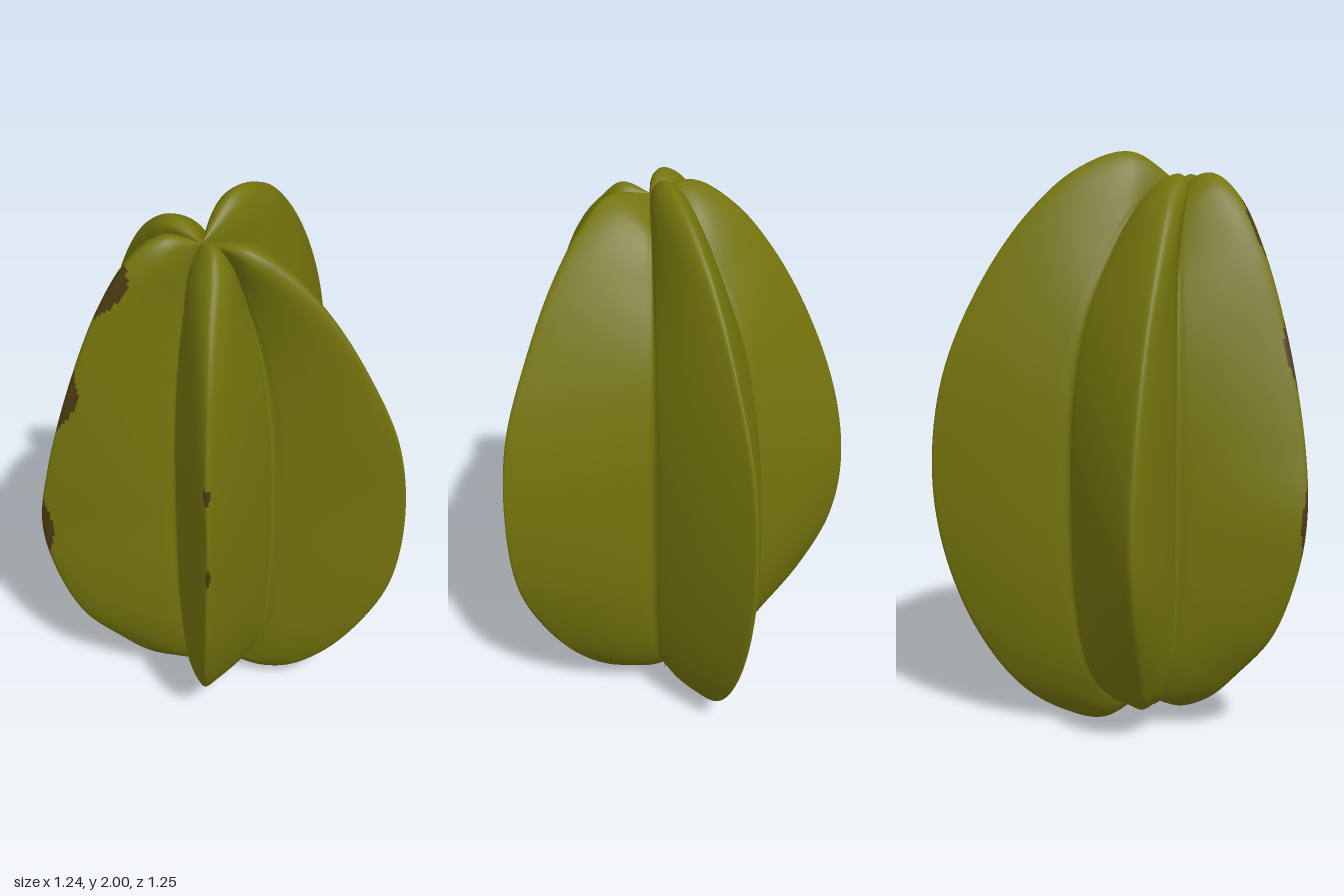
import * as THREE from 'three';

const TOP = new THREE.Vector3(-0.07, 1.89, 0.19);
const BOTTOM = new THREE.Vector3(-0.07, 0.09, 0.06);
const ROWS = 130, STEPS = 5, POINTS = 8, RING = 5 * POINTS * STEPS;

// Five ribs: tip [x, z], half thickness of the edge, then for each outward
// fraction the height of the ridge and its sideways drift
const FRACTIONS = [0.2, 0.4, 0.6, 0.8, 0.95, 1, 0.95, 0.8, 0.6, 0.4, 0.2];
const RIBS = [
  { tip: [0.23, -0.625], half: 0.02,
    y: [2.0, 1.95, 1.8, 1.55, 1.25, 0.92, 0.62, 0.33, 0.13, 0.035, 0.0],
    drift: [0.015, 0.02, 0.015, 0.01, 0, 0, 0, 0, 0, 0, 0] },
  { tip: [0.62, 0.175], half: 0.02,
    y: [1.91, 1.83, 1.68, 1.45, 1.2, 0.9, 0.6, 0.37, 0.18, 0.07, 0.035],
    drift: [0.05, 0.05, 0.045, 0.035, 0.025, 0.01, 0.01, 0.015, 0.02, 0.02, 0.01] },
  { tip: [0.025, 0.625], half: 0.022,
    y: [1.92, 1.85, 1.75, 1.58, 1.3, 1.0, 0.62, 0.36, 0.19, 0.1, 0.06],
    drift: [-0.03, -0.03, -0.02, -0.01, 0, 0, 0.01, 0.02, 0.025, 0.025, 0.015] },
  { tip: [-0.615, 0.345], half: 0.026,
    y: [1.93, 1.86, 1.68, 1.38, 1.05, 0.82, 0.62, 0.38, 0.23, 0.11, 0.06],
    drift: [-0.03, -0.04, -0.045, -0.045, -0.025, 0, 0, 0, 0, 0, 0] },
  { tip: [-0.55, -0.3], half: 0.03,
    y: [1.93, 1.85, 1.68, 1.42, 1.12, 0.85, 0.62, 0.42, 0.25, 0.12, 0.07],
    drift: [-0.025, -0.03, -0.03, -0.02, -0.01, 0, 0, 0, 0, 0, 0] },
];
// Valley i lies just before rib i
const VALLEYS = [[-0.12, -0.28], [0.235, -0.14], [0.165, 0.205], [-0.155, 0.285], [-0.345, 0.005]];
const VALLEY_FRACTIONS = [0.38, 0.64, 0.85, 0.97, 1, 0.95, 0.77, 0.47];
const VALLEY_Y = [1.82, 1.65, 1.45, 1.2, 0.9, 0.5, 0.23, 0.11];

// Bruises: rib index, height range, reach before and after the ridge in edge widths
const BRUISES = [
  [3, 1.66, 1.86, 1, 0.5], [3, 1.23, 1.48, 1, 0.6], [3, 0.68, 0.95, 1, 0.6],
  [2, 0.87, 0.95, 0.5, 0.4], [2, 1.2, 1.27, 0.4, 0.6],
];

// Curve from the top dimple to the bottom one, bulging towards a tip
function meridian([x, z], fractions, heights, drift) {
  const points = fractions.map((f, i) => {
    const axis = BOTTOM.clone().lerp(TOP, (heights[i] - BOTTOM.y) / (TOP.y - BOTTOM.y));
    const out = new THREE.Vector3(x - axis.x, 0, z - axis.z);
    const side = new THREE.Vector3(-out.z, 0, out.x).normalize();
    axis.y = heights[i];
    return axis.addScaledVector(out, f).addScaledVector(side, drift ? drift[i] : 0);
  });
  return new THREE.CatmullRomCurve3([TOP.clone(), ...points, BOTTOM.clone()]);
}

// Star-shaped section at u: valley, two flanks, shoulder, ridge and back again for each rib
function section(u, ridges, valleys) {
  const s = Math.sin(Math.PI * u);
  const e = Math.min(1, s * 4);
  const points = [];
  ridges.forEach((curve, i) => {
    const ridge = curve.getPointAt(u);
    const before = valleys[i].getPointAt(u);
    const after = valleys[(i + 1) % 5].getPointAt(u);
    const inward = before.clone().add(after).multiplyScalar(0.5).sub(ridge).normalize();
    const side = after.clone().sub(before).normalize();
    const half = e * (RIBS[i].half + 0.025 * (1 - s));
    const shoulder = (sign) => ridge.clone()
      .addScaledVector(inward, 0.03 * e).addScaledVector(side, sign * half);
    const flank = (sign, valley, t, bulge) => shoulder(sign).lerp(valley, t)
      .addScaledVector(side, sign * bulge * e);
    points.push(
      before, flank(-1, before, 0.88, 0.005), flank(-1, before, 0.45, 0.012), shoulder(-1), ridge,
      shoulder(1), flank(1, after, 0.45, 0.012), flank(1, after, 0.88, 0.005),
    );
  });
  return new THREE.CatmullRomCurve3(points, true);
}

// Bruises taper to a point at both ends
function isBruised(rib, offset, y) {
  return BRUISES.some(([r, low, high, before, after]) => {
    if (r !== rib || y < low || y > high) return false;
    const taper = Math.sin(Math.PI * (y - low) / (high - low));
    return offset > -before * taper && offset < after * taper;
  });
}

function fruitGeometry() {
  const ridges = RIBS.map((r) => meridian(r.tip, FRACTIONS, r.y, r.drift));
  const valleys = VALLEYS.map((v) => meridian(v, VALLEY_FRACTIONS, VALLEY_Y));
  const positions = [], skin = [], bruise = [];
  for (let j = 0; j <= ROWS; j++) {
    const end = j === 0 ? TOP : j === ROWS ? BOTTOM : null;
    const curve = end ? null : section(j / ROWS, ridges, valleys);
    for (let k = 0; k < RING; k++) {
      const p = end || curve.getPoint(k / RING);
      positions.push(p.x, p.y, p.z);
    }
  }
  for (let j = 0; j < ROWS; j++) {
    for (let k = 0; k < RING; k++) {
      const a = j * RING + k, b = j * RING + (k + 1) % RING;
      const rib = Math.floor(k / (POINTS * STEPS));
      const offset = ((k % (POINTS * STEPS)) + 0.5) / STEPS - POINTS / 2;
      const faces = isBruised(rib, offset, positions[a * 3 + 1]) ? bruise : skin;
      faces.push(a, b, a + RING, b, b + RING, a + RING);
    }
  }
  const geometry = new THREE.BufferGeometry();
  geometry.setAttribute('position', new THREE.Float32BufferAttribute(positions, 3));
  geometry.setIndex([...skin, ...bruise]);
  geometry.addGroup(0, skin.length, 0);
  geometry.addGroup(skin.length, bruise.length, 1);
  geometry.computeVertexNormals();
  return geometry;
}

export function createModel() {
  const skin = new THREE.MeshStandardMaterial({ color: 0x74740d });
  skin.name = 'olive skin';
  const brown = new THREE.MeshStandardMaterial({ color: 0x4a3a10 });
  brown.name = 'brown bruise';

  const group = new THREE.Group();
  group.name = 'starFruit';

  // Ribbed body with bruised ridges
  const body = new THREE.Mesh(fruitGeometry(), [skin, brown]);
  body.name = 'ribbedBody';
  group.add(body);

  // Dry stem remnant lying from the bottom dimple into a valley
  const path = new THREE.CatmullRomCurve3([
    new THREE.Vector3(-0.07, 0.075, 0.07),
    new THREE.Vector3(0.02, 0.065, 0.02),
    new THREE.Vector3(0.11, 0.11, -0.04),
  ]);
  const stem = new THREE.Mesh(new THREE.TubeGeometry(path, 12, 0.016, 8), brown);
  stem.name = 'stemRemnant';
  group.add(stem);

  return group;
}
